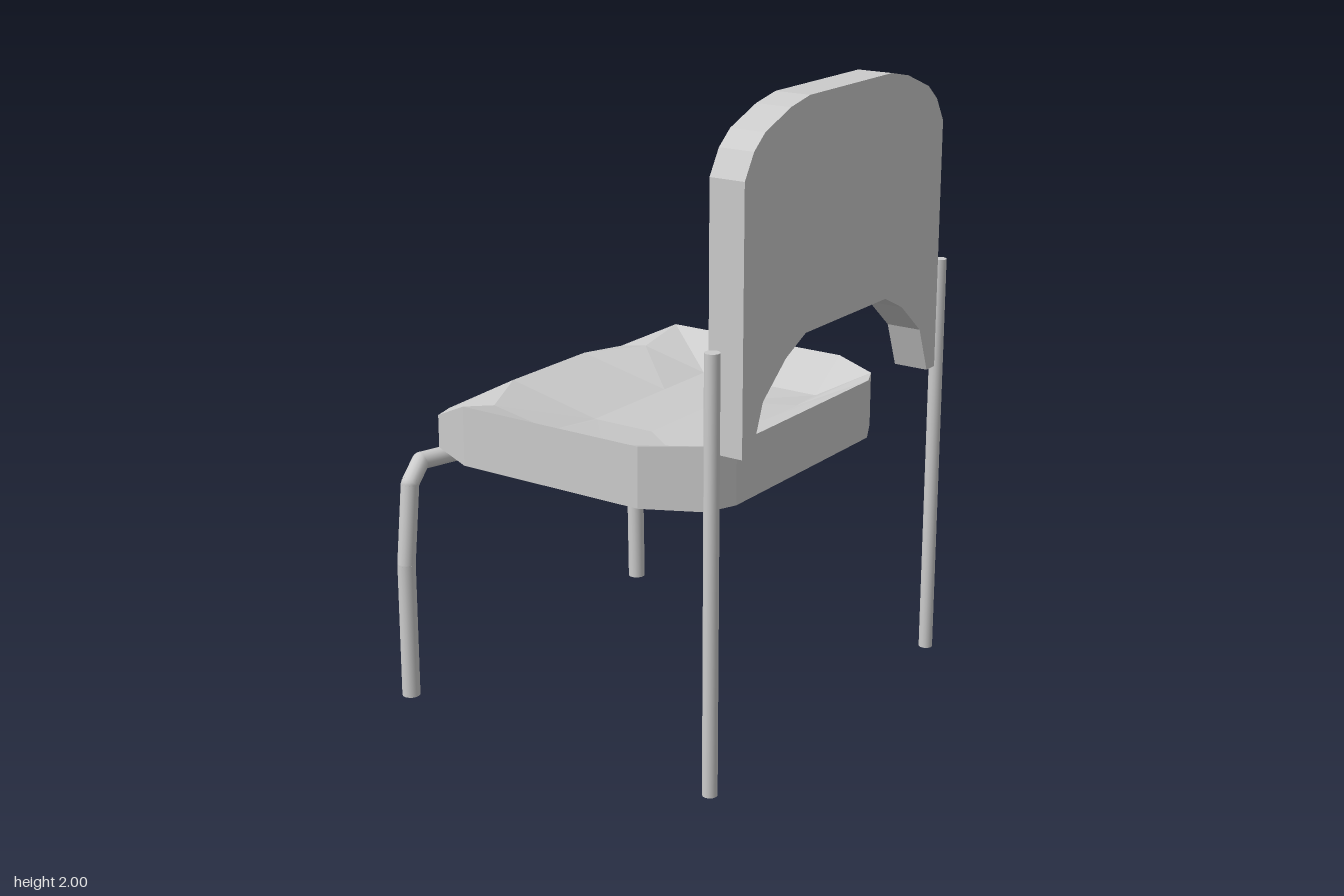
import * as THREE from 'three';

const V = (x, y, z) => new THREE.Vector3(x, y, z);
const smooth = new THREE.MeshStandardMaterial({ color: 0xcccccc });
const flat = new THREE.MeshStandardMaterial({ color: 0xcccccc, flatShading: true });

function mesh(name, geometry, material) {
  const m = new THREE.Mesh(geometry, material);
  m.name = name;
  return m;
}

// Straight round bar between two points
function bar(name, a, b, r) {
  const d = b.clone().sub(a);
  const m = mesh(name, new THREE.CylinderGeometry(r, r, d.length(), 14), smooth);
  m.position.copy(a).add(b).multiplyScalar(0.5);
  m.quaternion.setFromUnitVectors(V(0, 1, 0), d.normalize());
  return m;
}

// Bent leg: bars joined at each bend by a small ball
function bentLeg(name, points, r) {
  const g = new THREE.Group();
  g.name = name;
  for (let i = 0; i < points.length - 1; i++) {
    g.add(bar('legSegment', points[i], points[i + 1], r));
    if (i > 0) {
      const joint = mesh('legBend', new THREE.SphereGeometry(r, 14, 8), smooth);
      joint.position.copy(points[i]);
      g.add(joint);
    }
  }
  return g;
}

// Upright panel with a rounded top and an arched cut-out below
function backrest() {
  const half = [[0.23, 1.31], [0.335, 1.26], [0.455, 1.16], [0.51, 1.015], [0.56, 1.015],
    [0.56, 1.81], [0.515, 1.885], [0.46, 1.93], [0.33, 1.98], [0.23, 2]];
  const mirrored = half.map(([z, y]) => [-z, y]).reverse();
  const shape = new THREE.Shape([...half, ...mirrored].map(([z, y]) => new THREE.Vector2(z, y)));
  const geo = new THREE.ExtrudeGeometry(shape, { depth: 0.115, bevelEnabled: false });
  geo.rotateY(Math.PI / 2);
  geo.translate(0.517, 0, 0);
  return mesh('backrest', geo, flat);
}

// Faceted cushion: straight sides, sloping rim and a shallow dish
function seat() {
  // rim corners, in order round the seat
  const rim = [[-0.39, 0.985, -0.58], [0.27, 0.985, -0.58], [0.43, 0.97, -0.51],
    [0.49, 0.985, -0.39], [0.49, 0.985, 0.37], [0.45, 0.995, 0.47], [0.27, 0.985, 0.56],
    [-0.39, 0.985, 0.56], [-0.57, 0.9, 0.47], [-0.61, 0.89, 0.37], [-0.61, 0.89, -0.39],
    [-0.56, 0.9, -0.49]];
  const dish = [[-0.17, 0.885, -0.43], [0.27, 0.885, -0.43], [0.31, 0.905, -0.25],
    [0.33, 0.92, -0.02], [0.33, 0.92, 0.18], [0.29, 0.92, 0.4], [0.05, 0.915, 0.435],
    [-0.16, 0.915, 0.42], [-0.39, 0.95, 0.41], [-0.5, 0.955, 0.18], [-0.5, 0.955, -0.2],
    [-0.39, 0.95, -0.4]];
  const base = rim.map(([x, , z]) => [x, 0.793, z]);
  const clamp = THREE.MathUtils.clamp;
  const floor = dish.map(([x, , z]) => [clamp(x, -0.17, 0.05), 0.885, clamp(z, -0.2, 0.18)]);
  const centre = c => rim.map(() => c);
  const rings = [centre([-0.06, 0.793, 0]), base, rim, dish, floor, centre([-0.06, 0.885, 0])];
  const pos = [];
  const n = rim.length;
  for (let r = 0; r < rings.length - 1; r++) {
    for (let i = 0; i < n; i++) {
      const j = (i + 1) % n;
      const [a, b] = [rings[r][i], rings[r][j]];
      const [c, d] = [rings[r + 1][i], rings[r + 1][j]];
      // the quads on the +z half are split the other way
      if (i >= 4 && i <= 9) pos.push(...a, ...c, ...d, ...a, ...d, ...b);
      else pos.push(...a, ...c, ...b, ...b, ...c, ...d);
    }
  }
  const geo = new THREE.BufferGeometry();
  geo.setAttribute('position', new THREE.Float32BufferAttribute(pos, 3));
  geo.computeVertexNormals();
  return mesh('seat', geo, flat);
}

export function createModel() {
  const model = new THREE.Group();
  model.name = 'chair';
  model.add(backrest(), seat());

  // Straight rods beside the backrest
  for (const s of [1, -1]) {
    model.add(bar('backLeg', V(0.59, 0, 0.65 * s), V(0.59, 1.345, 0.65 * s), 0.023));
  }

  // Bent legs reaching in under the seat
  model.add(bentLeg('frontLegA', [V(-0.577, 0, 0.635), V(-0.577, 0.45, 0.635),
    V(-0.577, 0.71, 0.605), V(-0.605, 0.755, 0.52), V(-0.53, 0.755, 0.24)], 0.029));
  model.add(bentLeg('frontLegB', [V(-0.577, 0, -0.6), V(-0.587, 0.45, -0.605),
    V(-0.572, 0.72, -0.57), V(-0.535, 0.755, -0.49), V(-0.61, 0.755, -0.2)], 0.029));
  return model;
}
